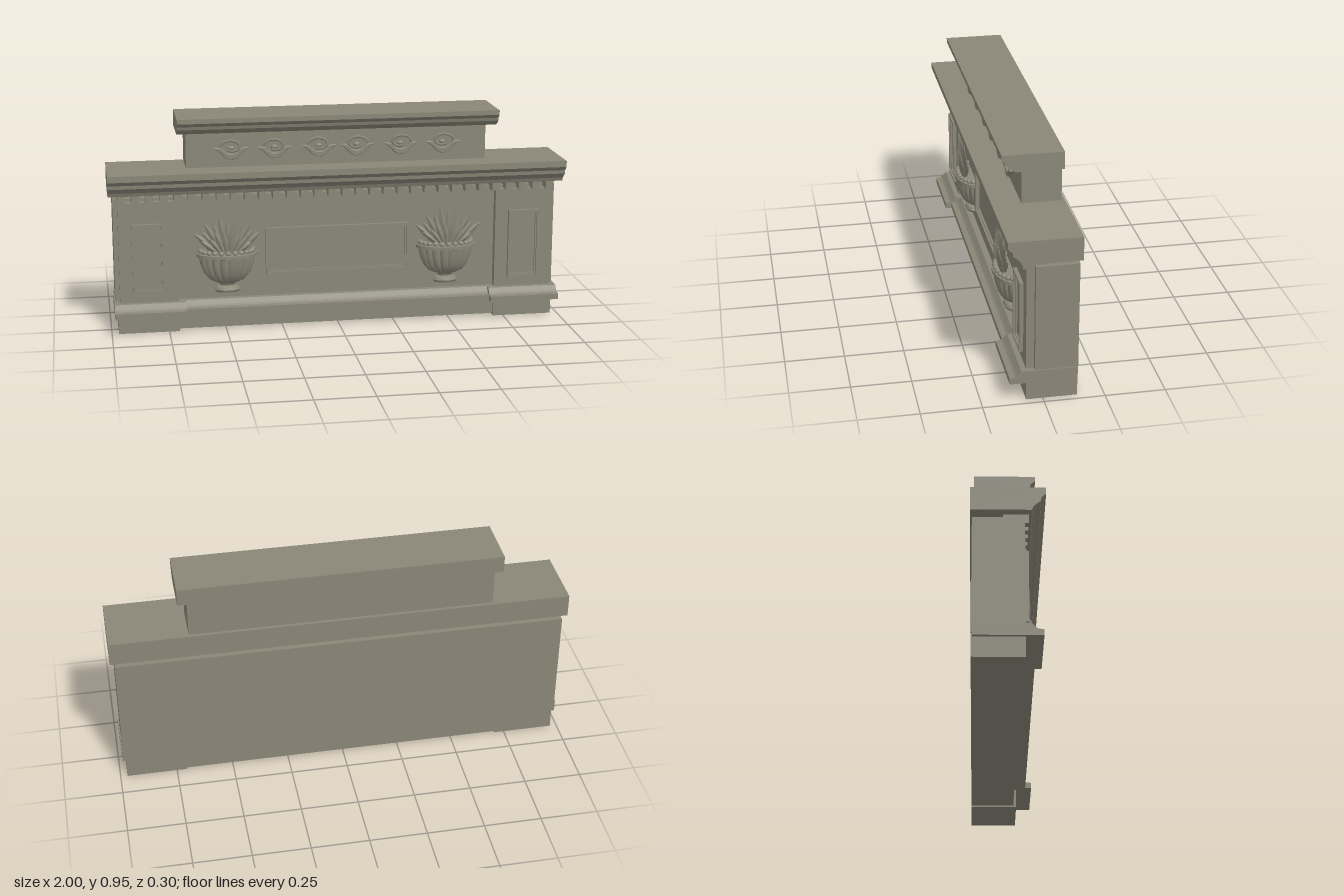
import * as THREE from 'three';
import { toCreasedNormals } from 'three/addons/utils/BufferGeometryUtils.js';

export function createModel() {
  const model = new THREE.Group();
  const stone = new THREE.MeshStandardMaterial({ color: 0x8a8778 });

  const add = (geo, name, parent = model) => {
    const m = new THREE.Mesh(geo, stone);
    m.name = name;
    parent.add(m);
    return m;
  };
  // Box given by its limits on each axis
  const box = (name, x0, x1, y0, y1, z0, z1) =>
    add(new THREE.BoxGeometry(x1 - x0, y1 - y0, z1 - z0)
      .translate((x0 + x1) / 2, (y0 + y1) / 2, (z0 + z1) / 2), name);
  // Moulding: a (z, y) profile run along x
  const moulding = (name, x0, x1, profile, dz = 0) => {
    const shape = new THREE.Shape(profile.map(([z, y]) => new THREE.Vector2(z, y)));
    const geo = new THREE.ExtrudeGeometry(shape, { depth: x1 - x0, bevelEnabled: false });
    return add(geo.rotateY(-Math.PI / 2).translate(x1, 0, dz), name);
  };
  // Raised rectangular frame with a stepped border
  const frame = (name, x0, x1, y0, y1, z, t, h) => {
    const rect = (C, d) => new C([[x0 + d, y0 + d], [x1 - d, y0 + d], [x1 - d, y1 - d], [x0 + d, y1 - d]]
      .map(p => new THREE.Vector2(...p)));
    [[0, t, h], [t, t * 1.6, h * 0.5]].forEach(([a, b, depth]) => {
      const s = rect(THREE.Shape, a);
      s.holes.push(rect(THREE.Path, b));
      add(new THREE.ExtrudeGeometry(s, { depth, bevelEnabled: false }).translate(0, 0, z), name);
    });
  };

  // Main body and plinth
  box('body', -0.98, 0.98, 0.1, 0.597, -0.141, 0.035);
  box('plinth', -0.965, 0.965, 0.008, 0.1, -0.141, 0.055);
  for (const s of [-1, 1]) {
    const side = (name, a, b, ...r) => box(name, Math.min(s * a, s * b), Math.max(s * a, s * b), ...r);
    side('pilaster', 0.705, 0.96, 0.1, 0.585, 0, 0.068);
    side('pilasterFoot', 0.705, 0.97, 0, 0.1, -0.141, 0.068);
    const c = s * 0.833;
    frame('pilasterFrame', c - 0.07, c + 0.07, 0.182, 0.49, 0.068, 0.01, 0.016);
  }
  frame('centreFrame', -0.32, 0.318, 0.233, 0.445, 0.035, 0.012, 0.018);

  // Base moulding, set back between the pilasters
  const baseProfile = [[-0.137, 0.085], [0.138, 0.085], [0.138, 0.11], [0.114, 0.113], [0.106, 0.12],
    [0.09, 0.138], [-0.137, 0.138]];
  moulding('baseMouldingCentre', -0.675, 0.675, baseProfile.map(([z, y]) => [z > 0 ? z - 0.028 : z, y]));
  moulding('baseMouldingLeft', 0.675, 0.985, baseProfile);
  moulding('baseMouldingRight', -0.985, -0.675, baseProfile);

  // Row of dentils under the cornice
  const teeth = 32;
  for (let i = 0; i < teeth; i++) {
    const x = -0.945 + 1.89 * i / (teeth - 1);
    box('dentil', x - 0.017, x + 0.017, 0.583, 0.622, -0.018, 0.083);
  }

  // Main cornice, upper block and top cornice
  moulding('mainCornice', -1, 1, [[-0.149, 0.62], [0.093, 0.62], [0.1, 0.636], [0.115, 0.65], [0.129, 0.66],
    [0.131, 0.676], [0.144, 0.689], [0.15, 0.694], [0.15, 0.721], [-0.149, 0.721]]);
  box('upperBlock', -0.66, 0.66, 0.72, 0.88, -0.134, 0.03);
  moulding('topCornice', -0.7, 0.7, [[-0.136, 0.876], [0.06, 0.876], [0.08, 0.886], [0.096, 0.9], [0.1, 0.914],
    [0.112, 0.924], [0.118, 0.93], [0.118, 0.95], [-0.136, 0.95]]);

  // Pointed four-sided leaf growing along +y, flattened in z
  const leafGeo = (len, w, d) => {
    const pts = [[0.3, 0], [0.75, 0.3], [1, 0.55], [0.6, 0.8], [0, 1]]
      .map(([r, y]) => new THREE.Vector2(r * w, y * len));
    return toCreasedNormals(new THREE.LatheGeometry(pts, 4).scale(1, 1, d / w), 0.5);
  };

  // Scroll ornaments on the upper block, mirrored about the centre
  const ornament = (x, s) => {
    const g = new THREE.Group();
    g.name = 'scrollOrnament';
    const scroll = [];
    for (let i = 0; i <= 16; i++) {
      const t = i / 16, a = Math.PI * (1.05 - 1.75 * t), r = 1 - 0.5 * t;
      scroll.push(new THREE.Vector3(s * Math.cos(a) * 0.05 * r, 0.006 + Math.sin(a) * 0.033 * r, 0.004));
    }
    add(new THREE.TubeGeometry(new THREE.CatmullRomCurve3(scroll), 32, 0.0065, 6), 'scroll', g);
    const eye = add(new THREE.SphereGeometry(0.013, 10, 8), 'scrollEye', g);
    eye.scale.set(1.2, 0.8, 0.7);
    // Crescent leaf cupping the scroll
    const cup = new THREE.Shape();
    cup.moveTo(-0.072, 0.002);
    cup.quadraticCurveTo(-0.045, -0.012, -0.03, -0.034);
    cup.quadraticCurveTo(0, -0.058, 0.03, -0.034);
    cup.quadraticCurveTo(0.045, -0.012, 0.072, 0.002);
    cup.quadraticCurveTo(0.045, 0.004, 0.036, -0.01);
    cup.quadraticCurveTo(0, -0.045, -0.036, -0.01);
    cup.quadraticCurveTo(-0.045, 0.004, -0.072, 0.002);
    add(new THREE.ExtrudeGeometry(cup, { depth: 0.008, bevelThickness: 0.007, bevelSize: 0.003,
      bevelSegments: 2, curveSegments: 6 }), 'cupLeaf', g);
    g.position.set(x, 0.805, 0.04);
    model.add(g);
  };
  for (const x of [0.465, 0.277, 0.083]) { ornament(-x, 1); ornament(x, -1); }

  // Half-round fluted urns with spiky plants
  const bowlPoints = [[0, 0.165], [0.05, 0.165], [0.057, 0.175], [0.05, 0.187], [0.03, 0.194], [0.035, 0.203],
    [0.075, 0.22], [0.1, 0.25], [0.116, 0.29], [0.122, 0.325], [0.134, 0.328], [0.134, 0.342], [0.11, 0.348],
    [0, 0.348]].map(p => new THREE.Vector2(...p));
  const urn = x => {
    const g = new THREE.Group();
    g.name = 'urn';
    const bowl = new THREE.LatheGeometry(bowlPoints, 72, -Math.PI / 2, Math.PI);
    const p = bowl.attributes.position;
    for (let i = 0; i < p.count; i++) {
      const y = p.getY(i), a = Math.atan2(p.getX(i), p.getZ(i));
      const k = y > 0.21 && y < 0.327 ? 0.91 + 0.1 * Math.abs(Math.sin(9 * a)) : 1;
      p.setXYZ(i, p.getX(i) * k, y, p.getZ(i) * k * 0.62);
    }
    add(toCreasedNormals(bowl, 0.6), 'bowl', g);
    // Beads around the rim
    for (let i = 0; i < 13; i++) {
      const a = Math.PI * (i / 12 - 0.5);
      add(new THREE.SphereGeometry(0.013, 8, 6), 'rimBead', g)
        .position.set(0.115 * Math.sin(a), 0.35, 0.068 * Math.cos(a));
    }
    // Leaves: tall back row, shorter front row
    const leaves = [[11, 0.19, 1.0, 0.04, 0.016], [8, 0.13, 1.05, 0.052, 0.014]];
    leaves.forEach(([n, len, spread, z, w], row) => {
      for (let i = 0; i < n; i++) {
        const t = 2 * i / (n - 1) - 1;
        const l = len * (1 - 0.2 * Math.abs(t)) * (i % 2 ? 0.86 : 1);
        const leaf = add(leafGeo(l, w, 0.008), 'leaf', g);
        leaf.position.set(0.035 * t, 0.345, z);
        leaf.rotation.set(0.05 + 0.04 * row, 0, -spread * t * 0.85);
      }
    });
    g.position.set(x, 0, 0.035);
    model.add(g);
  };
  urn(-0.49);
  urn(0.487);

  return model;
}
